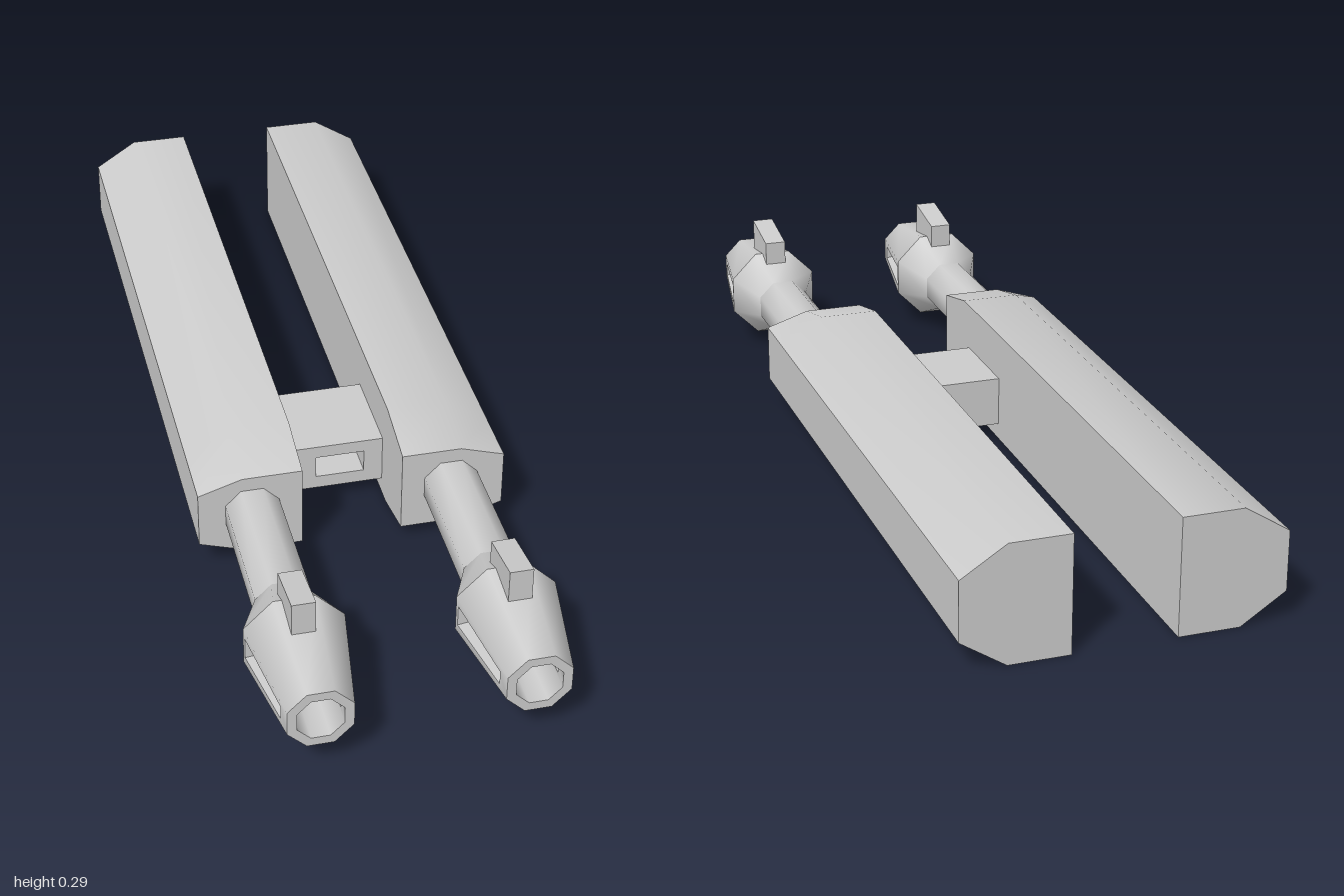
import * as THREE from 'three';
import { toCreasedNormals } from 'three/addons/utils/BufferGeometryUtils.js';

const material = new THREE.MeshStandardMaterial({ color: 0xcccccc });
const AXIS_X = 0.2135, AXIS_Y = 0.13;

function addMesh(parent, name, geometry) {
  const mesh = new THREE.Mesh(geometry, material);
  mesh.name = name;
  parent.add(mesh);
  return mesh;
}

// Geometry from a list of quads and triangles (arrays of Vector3)
function fromFaces(faces, crease) {
  const positions = [];
  for (const f of faces)
    for (let i = 1; i < f.length - 1; i++)
      for (const p of [f[0], f[i], f[i + 1]]) positions.push(p.x, p.y, p.z);
  const geometry = new THREE.BufferGeometry();
  geometry.setAttribute('position', new THREE.Float32BufferAttribute(positions, 3));
  return toCreasedNormals(geometry, crease);
}

// Joins rings of points; makeSide may replace single side faces
function loftFaces(rings, { startCap = true, endCap = true, skip = () => false } = {}) {
  const faces = [];
  for (let j = 0; j < rings.length - 1; j++) {
    const a = rings[j], b = rings[j + 1], n = a.length;
    for (let i = 0; i < n; i++) {
      const k = (i + 1) % n;
      if (!skip(j, i)) faces.push([a[i], a[k], b[k], b[i]]);
    }
  }
  if (startCap) faces.push([...rings[0]].reverse());
  if (endCap) faces.push(rings[rings.length - 1]);
  return faces;
}

// Octagon with flat sides on the axes, given its apothem
function octagon(apothem, z) {
  const r = apothem / Math.cos(Math.PI / 8);
  return Array.from({ length: 8 }, (_, i) => {
    const t = (i - 0.5) * Math.PI / 4;
    return new THREE.Vector3(r * Math.cos(t), r * Math.sin(t), z);
  });
}

// Four corners of a tapered slot inside a quad: v along it, h half width
function slotCorners([a, b, c, d], v0, h0, v1, h1) {
  const at = (u, v) => a.clone().lerp(b, u).lerp(d.clone().lerp(c, u), v);
  return [at(0.5 - h0, v0), at(0.5 + h0, v0), at(0.5 + h1, v1), at(0.5 - h1, v1)];
}

// Side strips between two four-cornered loops
function bandFaces(outer, inner) {
  return outer.map((p, i) => [p, outer[(i + 1) % 4], inner[(i + 1) % 4], inner[i]]);
}

// Tapered hollow muzzle with a slot in each side
function muzzleGeometry() {
  const rings = [octagon(0.101, 0.77), octagon(0.065, 1), octagon(0.046, 1), octagon(0.046, 0.77)];
  const slotted = (j, i) => j !== 1 && i % 4 === 0;
  const faces = loftFaces(rings, { startCap: false, skip: slotted });
  for (const i of [0, 4]) {
    const quad = j => [rings[j][i], rings[j][i + 1], rings[j + 1][i + 1], rings[j + 1][i]];
    const outside = slotCorners(quad(0), 0.04, 0.29, 0.86, 0.26);
    const inside = slotCorners(quad(2), 0.14, 0.26, 0.96, 0.42);
    faces.push(...bandFaces(quad(0), outside), ...bandFaces(quad(2), inside));
    // The bore runs backwards, so its corners are reordered to meet the outside
    const [p, q, r, s] = inside;
    faces.push(...bandFaces(outside, [s, r, q, p]));
  }
  return fromFaces(faces, 0.83);
}

// Long housing, flat on the inner side, bevelled outside and at the front
function housingGeometry(side) {
  const ring = (z, bottom, top) => {
    const pts = [[0.107, bottom], [0.234, bottom], [0.328, 0.062], [0.328, 0.188], [0.234, top], [0.107, top]]
      .map(([x, y]) => new THREE.Vector3(side * x, y, z));
    return side > 0 ? pts : pts.reverse();
  };
  const rings = [ring(-1, 0, 0.248), ring(0.24, 0, 0.248), ring(0.37, 0.031, 0.218)];
  return fromFaces(loftFaces(rings), 0.7);
}

// Sight block with a sloping top
function sightGeometry() {
  const shape = new THREE.Shape([[-0.856, 0.2], [-0.733, 0.2], [-0.733, 0.268], [-0.856, 0.29]]
    .map(([x, y]) => new THREE.Vector2(x, y)));
  return new THREE.ExtrudeGeometry(shape, { depth: 0.048, bevelEnabled: false })
    .translate(0, 0, -0.024).rotateY(Math.PI / 2);
}

function createGun(side) {
  const gun = new THREE.Group();
  gun.name = side > 0 ? 'leftGun' : 'rightGun';
  addMesh(gun, 'housing', housingGeometry(side));

  const barrel = new THREE.Group();
  barrel.name = 'barrelAssembly';
  barrel.position.set(side * AXIS_X, AXIS_Y, 0);
  addMesh(barrel, 'barrel', fromFaces(loftFaces([octagon(0.057, 0.36), octagon(0.057, 0.67)]), 0.83));
  addMesh(barrel, 'flare', fromFaces(
    loftFaces([octagon(0.057, 0.67), octagon(0.101, 0.77)], { startCap: false, endCap: false }), 0.83));
  addMesh(barrel, 'muzzle', muzzleGeometry());
  addMesh(barrel, 'sight', sightGeometry()).position.y = -AXIS_Y;
  gun.add(barrel);
  return gun;
}

// Cross piece between the housings, with a recess in its front
function createBridge() {
  const bridge = new THREE.Group();
  bridge.name = 'bridge';
  const rect = (x0, y0, x1, y1) => [[x0, y0], [x1, y0], [x1, y1], [x0, y1]].map(p => new THREE.Vector2(...p));
  const face = new THREE.Shape(rect(-0.107, 0.036, 0.107, 0.145));
  face.holes.push(new THREE.Path(rect(-0.04, 0.066, 0.066, 0.117).reverse()));
  addMesh(bridge, 'bridgeFront', new THREE.ExtrudeGeometry(face, { depth: 0.105, bevelEnabled: false }))
    .position.z = 0.1;
  addMesh(bridge, 'bridgeBack', new THREE.BoxGeometry(0.214, 0.109, 0.1)).position.set(0, 0.0905, 0.05);
  return bridge;
}

export function createModel() {
  const model = new THREE.Group();
  model.name = 'twinCannon';
  model.add(createGun(1), createGun(-1), createBridge());
  return model;
}
